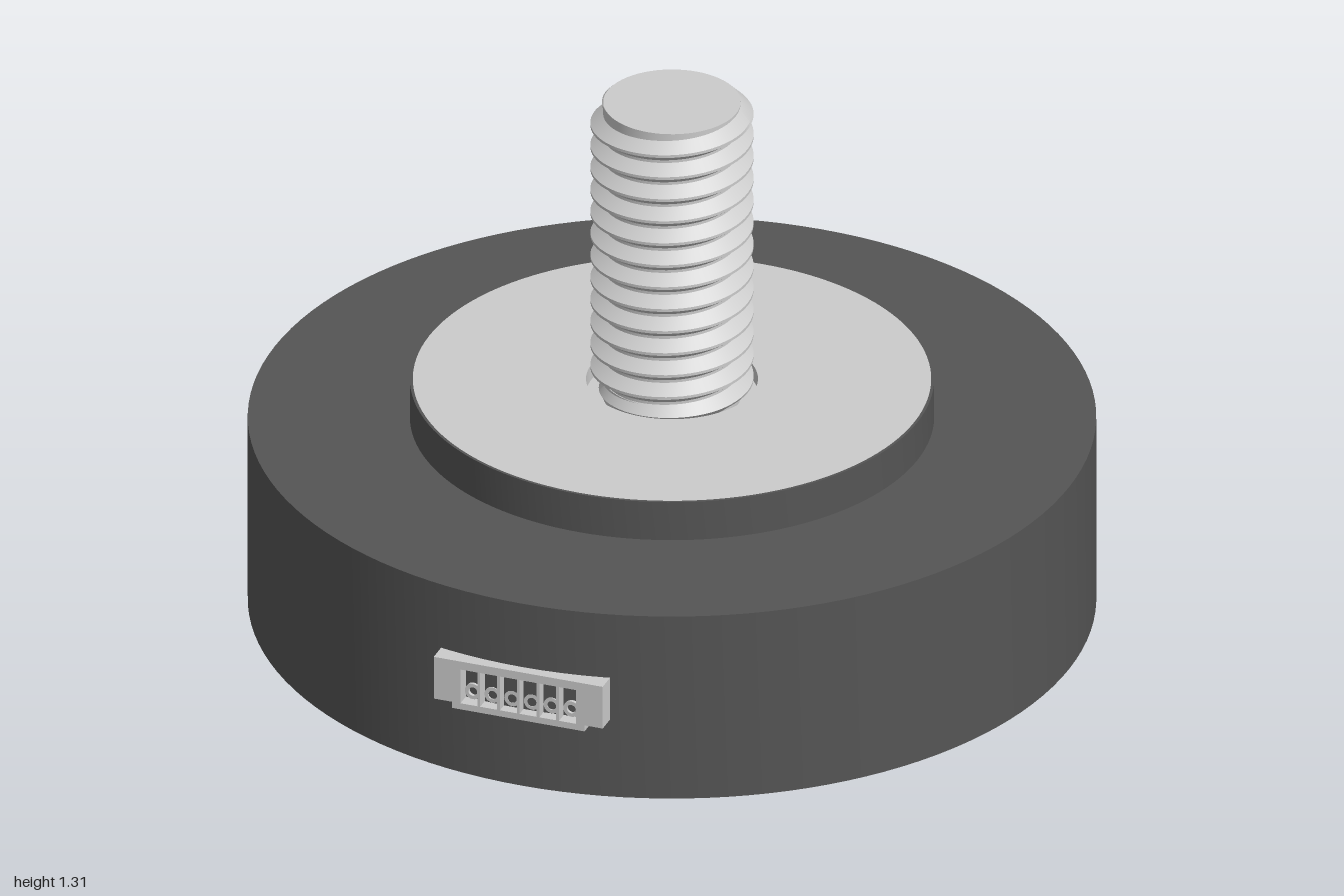
import * as THREE from 'three';
import { toCreasedNormals } from 'three/addons/utils/BufferGeometryUtils.js';

const grey = new THREE.MeshStandardMaterial({ color: 0xcccccc });
const rubber = new THREE.MeshStandardMaterial({ color: 0x555555 });

function add(parent, name, geometry, material, x = 0, y = 0, z = 0) {
  const mesh = new THREE.Mesh(geometry, material);
  mesh.name = name;
  mesh.position.set(x, y, z);
  parent.add(mesh);
  return mesh;
}

// Solid of revolution with crisp edges, profile running from bottom to top
function turned(profile, segments = 128) {
  const points = profile.map(([r, y]) => new THREE.Vector2(r, y));
  return toCreasedNormals(new THREE.LatheGeometry(points, segments), 0.5);
}

// Helical thread: profile rows that climb one pitch per turn, clamped at both ends
function threadGeometry(bottom, top, root, crest, pitch) {
  const around = 64;
  const profile = [[0, root], [0.12, root], [0.5, crest], [0.62, crest]];
  const turns = Math.ceil((top - bottom) / pitch) + 2;
  const rows = turns * profile.length;
  const positions = [], index = [];
  for (let i = 0; i < rows; i++) {
    const [offset, radius] = profile[i % profile.length];
    const turn = Math.floor(i / profile.length) - 1;
    for (let j = 0; j <= around; j++) {
      const t = (j / around) * Math.PI * 2;
      const y = THREE.MathUtils.clamp(bottom + pitch * (turn + offset + j / around), bottom, top);
      const r = Math.min(radius, root + (top - y), root + (y - bottom)); // chamfered ends
      positions.push(r * Math.cos(t), y, -r * Math.sin(t));
    }
  }
  const height = (v) => positions[v * 3 + 1];
  for (let i = 0; i < rows - 1; i++) {
    for (let j = 0; j < around; j++) {
      const a = i * (around + 1) + j, b = a + 1, c = a + around + 1, d = c + 1;
      for (const tri of [[a, b, d], [a, d, c]]) {
        const ys = tri.map(height);
        if (Math.max(...ys) - Math.min(...ys) > 1e-6) index.push(...tri);
      }
    }
  }
  const geometry = new THREE.BufferGeometry();
  geometry.setAttribute('position', new THREE.Float32BufferAttribute(positions, 3));
  geometry.setIndex(index);
  return toCreasedNormals(geometry, 0.5);
}

function rectangle(target, x0, y0, x1, y1) {
  target.moveTo(x0, y0);
  target.lineTo(x1, y0);
  target.lineTo(x1, y1);
  target.lineTo(x0, y1);
  target.closePath();
  return target;
}

export function createModel() {
  const model = new THREE.Group();
  model.name = 'threadedFoot';
  const axis = new THREE.Group();
  axis.name = 'roundParts';
  axis.position.z = -0.0125;
  model.add(axis);

  // Dark round housing with a raised collar
  add(axis, 'housing', turned([
    [0.977, 0.02], [0.977, 0], [0.987, 0], [0.987, 0.48],
    [0.61, 0.48], [0.61, 0.58], [0.603, 0.58], [0.603, 0.5],
  ]), rubber);

  // Plate closing the underside
  add(axis, 'basePlate', new THREE.CylinderGeometry(0.977, 0.977, 0.03, 128), grey, 0, 0.016, 0);

  // Metal disc inside the collar, with a recess around the stud
  add(axis, 'topDisc', turned([
    [0.603, 0.5], [0.603, 0.58], [0.2, 0.58], [0.2, 0.54], [0, 0.54],
  ]), grey);

  // Threaded stud: plain shank, thread and end face
  const stud = new THREE.Group();
  stud.name = 'stud';
  axis.add(stud);
  add(stud, 'shank', new THREE.CylinderGeometry(0.162, 0.162, 0.06, 64), grey, 0, 0.56, 0);
  add(stud, 'thread', threadGeometry(0.55, 1.31, 0.16, 0.19, 0.058), grey);
  const end = add(stud, 'endFace', new THREE.CircleGeometry(0.16, 64), grey, 0, 1.31, 0);
  end.rotation.x = -Math.PI / 2;

  // Connector on the front: frame with six slots and a lower lip
  const connector = new THREE.Group();
  connector.name = 'connector';
  model.add(connector);
  const outline = new THREE.Shape();
  [[-0.165, 0.187], [0.165, 0.187], [0.165, 0.203], [0.21, 0.203],
    [0.21, 0.313], [-0.21, 0.313], [-0.21, 0.203], [-0.165, 0.203]]
    .forEach(([x, y], i) => (i ? outline.lineTo(x, y) : outline.moveTo(x, y)));
  outline.closePath();
  for (let i = 0; i < 6; i++) {
    const x = (i - 2.5) * 0.049;
    outline.holes.push(rectangle(new THREE.Path(), x - 0.021, 0.203, x + 0.021, 0.292));

    // Hollow pin at the foot of each slot
    const ring = new THREE.Shape().absarc(x, 0.225, 0.02, 0, Math.PI * 2);
    ring.holes.push(new THREE.Path().absarc(x, 0.225, 0.011, 0, Math.PI * 2));
    add(connector, 'pin' + (i + 1), new THREE.ExtrudeGeometry(ring, {
      depth: 0.0345, bevelEnabled: false, curveSegments: 12,
    }), grey, 0, 0, 0.94);
  }
  add(connector, 'connectorFrame', new THREE.ExtrudeGeometry(outline, {
    depth: 0.06, bevelEnabled: false,
  }), grey, 0, 0, 0.94);

  return model;
}
